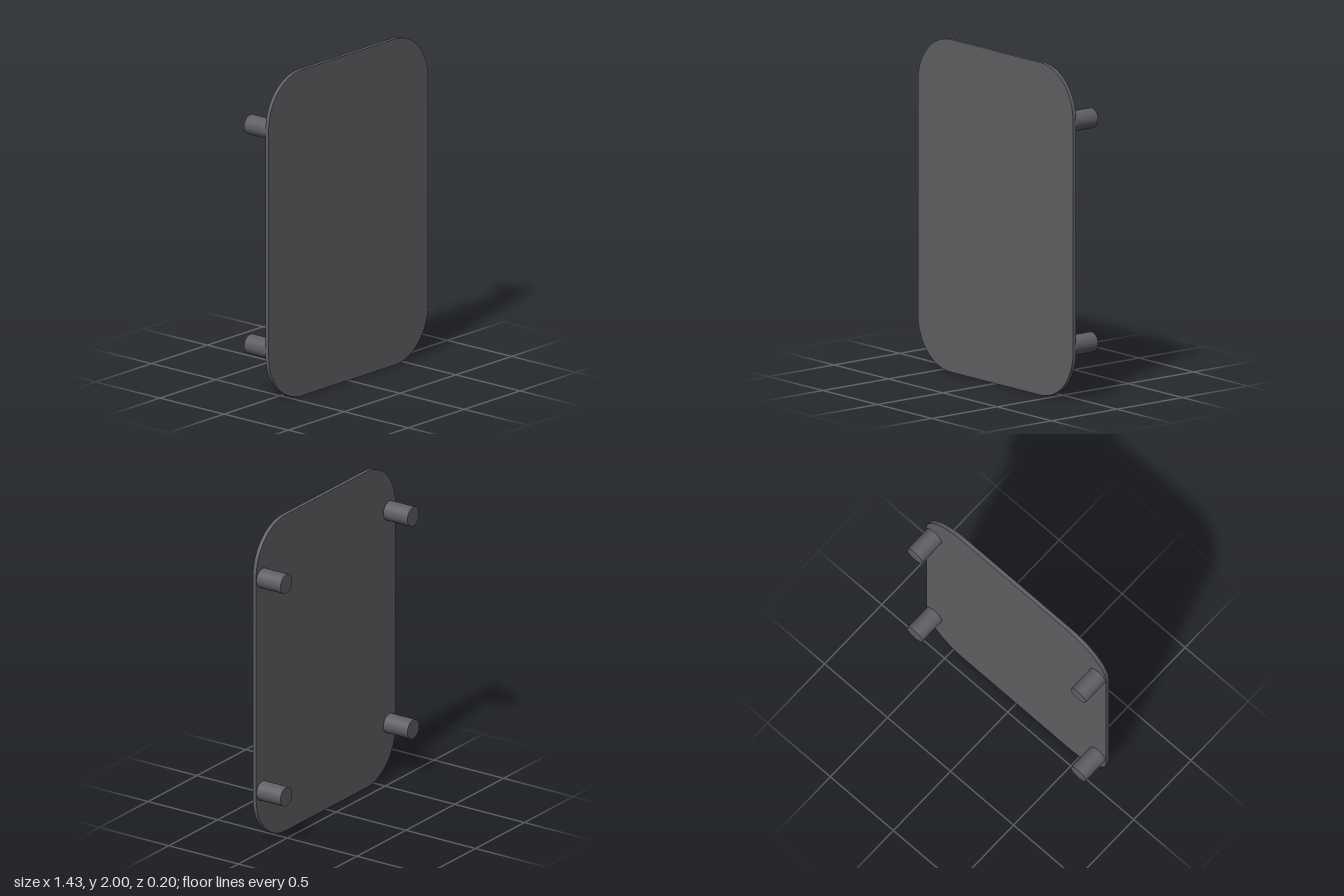
import * as THREE from 'three';
import { toCreasedNormals } from 'three/addons/utils/BufferGeometryUtils.js';

const HALF_W = 0.713, HEIGHT = 2, RADIUS = 0.3;
const FRONT = 0.098, PLATE_BACK = 0.074, PIN_BACK = -0.098;

// Upright rectangle with rounded corners, standing on y = 0
function roundedRect(w, h, r) {
  const s = new THREE.Shape();
  s.absarc(w - r, r, r, -Math.PI / 2, 0);
  s.absarc(w - r, h - r, r, 0, Math.PI / 2);
  s.absarc(r - w, h - r, r, Math.PI / 2, Math.PI);
  s.absarc(r - w, r, r, Math.PI, Math.PI * 1.5);
  s.closePath();
  return s;
}

export function createModel() {
  const model = new THREE.Group();
  model.name = 'mountedPlate';
  const material = new THREE.MeshStandardMaterial({ color: 0x5f5e62 });

  // Thin front plate
  const plateGeometry = new THREE.ExtrudeGeometry(roundedRect(HALF_W, HEIGHT, RADIUS), {
    depth: FRONT - PLATE_BACK, bevelEnabled: false, curveSegments: 20,
  });
  const plate = new THREE.Mesh(toCreasedNormals(plateGeometry, 0.5), material);
  plate.name = 'plate';
  plate.position.z = PLATE_BACK;
  model.add(plate);

  // Four round mounting pins on the back
  const length = PLATE_BACK - PIN_BACK;
  const pinGeometry = new THREE.CylinderGeometry(0.06, 0.06, length, 40).rotateX(Math.PI / 2);
  for (const [side, x] of [['Left', 0.649], ['Right', -0.649]]) {
    for (const [level, y] of [['lower', 0.333], ['upper', 1.68]]) {
      const pin = new THREE.Mesh(pinGeometry, material);
      pin.name = `${level}${side}Pin`;
      pin.position.set(x, y, PIN_BACK + length / 2);
      model.add(pin);
    }
  }
  return model;
}
